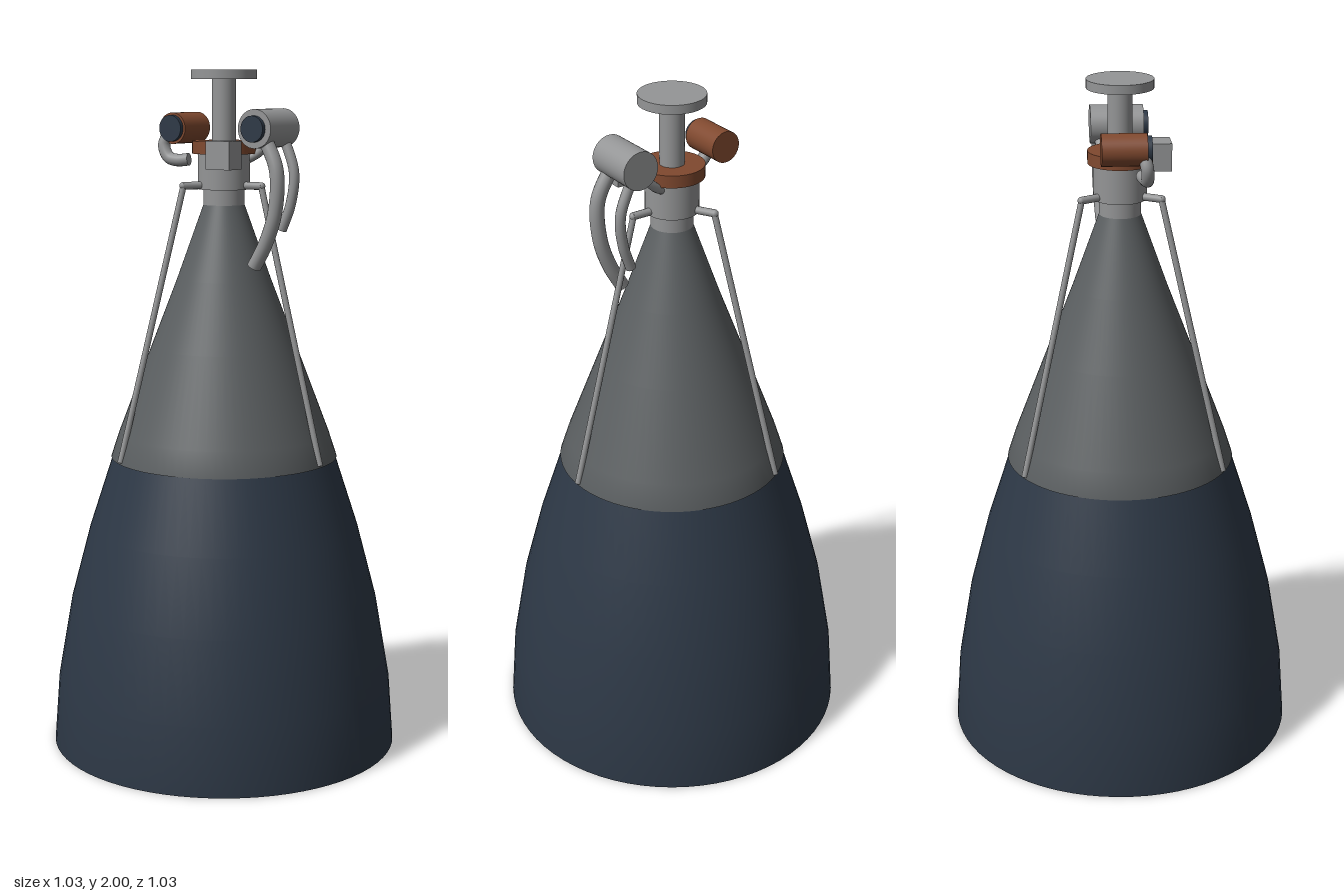
import * as THREE from 'three';

const mat = (name, color) => {
  const m = new THREE.MeshStandardMaterial({ color });
  m.name = name;
  return m;
};

export function createModel() {
  const model = new THREE.Group();
  model.name = 'rocketEngine';

  const navy = mat('navy', 0x2d3846);
  const darkGrey = mat('darkGrey', 0x5b5f61);
  const steel = mat('steel', 0x949596);
  const copper = mat('copper', 0x80492f);

  const v3 = (p) => new THREE.Vector3(...p);
  const add = (name, geometry, material, parent = model) => {
    const mesh = new THREE.Mesh(geometry, material);
    mesh.name = name;
    parent.add(mesh);
    return mesh;
  };
  // Upright cylinder between two heights
  const drum = (name, r, y0, y1, material) => {
    const m = add(name, new THREE.CylinderGeometry(r, r, y1 - y0, 48), material);
    m.position.y = (y0 + y1) / 2;
  };
  // Cylinder along z between two depths
  const barrel = (name, x, y, r, z0, z1, material, parent) => {
    const g = new THREE.CylinderGeometry(r, r, z1 - z0, 40).rotateX(Math.PI / 2);
    add(name, g, material, parent).position.set(x, y, (z0 + z1) / 2);
  };
  // Straight rod between two points
  const rod = (name, a, b, r, material, parent) => {
    const A = v3(a), B = v3(b), d = B.clone().sub(A);
    const m = add(name, new THREE.CylinderGeometry(r, r, d.length(), 12), material, parent);
    m.position.copy(A).addScaledVector(d, 0.5);
    m.quaternion.setFromUnitVectors(new THREE.Vector3(0, 1, 0), d.normalize());
  };
  // Curved pipe with closed ends
  const pipe = (name, points, r, material) => {
    const g = new THREE.Group();
    g.name = name;
    model.add(g);
    const curve = new THREE.CatmullRomCurve3(points.map(v3));
    add('pipeWall', new THREE.TubeGeometry(curve, 32, r, 16), material, g);
    [0, 1].forEach((t) => {
      const cap = add('pipeEnd', new THREE.CircleGeometry(r, 16), material, g);
      const dir = curve.getTangent(t).multiplyScalar(t ? 1 : -1);
      cap.position.copy(curve.getPoint(t));
      cap.quaternion.setFromUnitVectors(new THREE.Vector3(0, 0, 1), dir);
    });
  };
  // Thin-walled bell: inner wall going down, then outer wall going up
  const bell = (name, outer, wall, material) => {
    const inner = outer.map(([r, y]) => [r - wall, y]).reverse();
    const profile = [outer[outer.length - 1], ...inner, ...outer];
    add(name, new THREE.LatheGeometry(profile.map((p) => new THREE.Vector2(...p)), 72), material);
  };

  // Nozzle
  bell('nozzleExtension',
    [[0.515, 0], [0.5, 0.2], [0.458, 0.44], [0.4, 0.66], [0.33, 0.875]], 0.01, navy);
  bell('nozzleCone',
    [[0.335, 0.872], [0.311, 0.945], [0.214, 1.2], [0.137, 1.4], [0.058, 1.62]], 0.01, darkGrey);

  // Chamber, injector and mounting flange
  drum('throatCollar', 0.06, 1.615, 1.665, steel);
  drum('chamber', 0.076, 1.66, 1.765, steel);
  drum('injectorRing', 0.092, 1.762, 1.798, copper);
  drum('feedPipe', 0.035, 1.795, 1.98, steel);
  drum('mountFlange', 0.095, 1.974, 2, steel);

  // Three support struts with elbow arms
  for (let i = 0; i < 3; i++) {
    const strut = new THREE.Group();
    strut.name = 'supportStrut';
    strut.rotation.y = (i * Math.PI * 2) / 3;
    model.add(strut);
    rod('strutArm', [0.05, 1.672, 0], [0.132, 1.672, 0], 0.011, steel, strut);
    rod('strutRod', [0.128, 1.676, 0], [0.334, 0.878, 0], 0.009, steel, strut);
    add('strutElbow', new THREE.SphereGeometry(0.011, 12, 8), steel, strut)
      .position.set(0.13, 1.672, 0);
  }

  // Turbopumps
  barrel('largePump', 0.154, 1.836, 0.055, -0.076, 0.076, steel);
  barrel('largePumpInlet', 0.154, 1.836, 0.037, 0.07, 0.09, navy);
  barrel('smallPump', -0.137, 1.833, 0.045, -0.062, 0.064, copper);
  barrel('smallPumpInlet', -0.137, 1.833, 0.038, 0.06, 0.077, navy);

  // Pipework
  pipe('exhaustPipe', [[0.17, 1.81, 0.045], [0.212, 1.72, 0.05], [0.207, 1.6, 0.05],
    [0.175, 1.51, 0.05], [0.138, 1.445, 0.05]], 0.021, steel);
  pipe('returnPipe', [[0.17, 1.81, -0.055], [0.206, 1.71, -0.053], [0.197, 1.62, -0.05],
    [0.17, 1.545, -0.045]], 0.015, steel);
  pipe('crossPipe', [[0.05, 1.74, -0.03], [0.09, 1.765, -0.047], [0.135, 1.81, -0.05]], 0.013, steel);
  pipe('smallPumpPipe', [[-0.155, 1.82, 0.055], [-0.168, 1.785, 0.063], [-0.15, 1.75, 0.065],
    [-0.12, 1.742, 0.063], [-0.085, 1.745, 0.055]], 0.018, steel);

  // Control box
  add('controlBox', new THREE.BoxGeometry(0.08, 0.08, 0.062), steel).position.set(0.08, 1.763, 0.12);

  return model;
}
